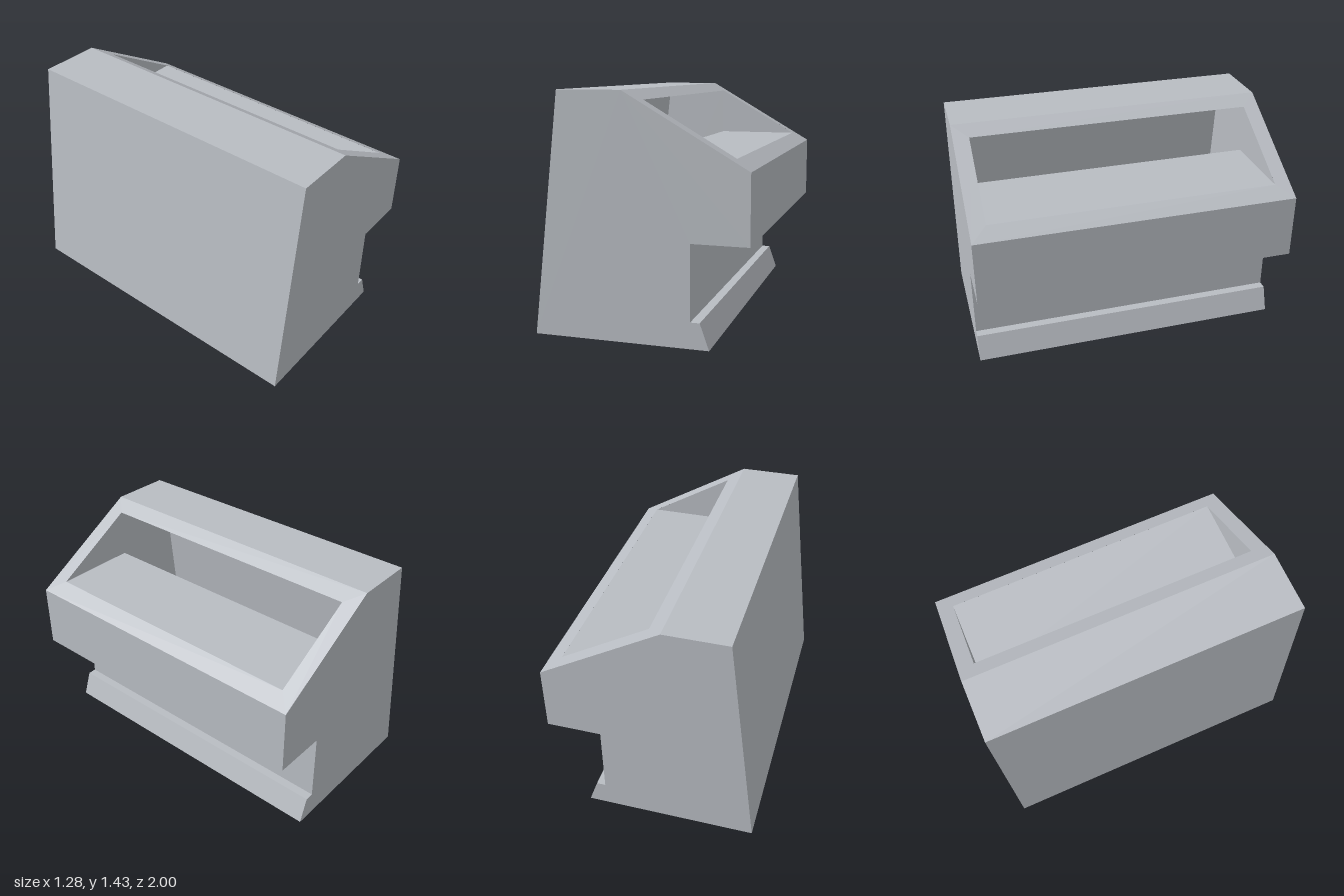
import * as THREE from 'three';

// Outer profile (x, y), counter-clockwise; the slope between LIP and CREST is the display panel
const LIP = [0.64, 1.005], CREST = [-0.09, 1.43];
const OUTER = [CREST, [-0.475, 1.43], [-0.64, 0], [0.415, 0], [0.36, 0.155],
  [0.305, 0.155], [0.305, 0.6], [0.64, 0.6], LIP];
// Pocket profile: shelf, drop behind it, floor, leaning back wall, ceiling
const POCKET = [[0.54, 1.063], [0.005, 1.063], [0.005, 0.06], [-0.573, 0.06],
  [-0.422, 1.37], [0.005, 1.375]];
const HALF = 1, POCKET_HALF = 0.9;

export function createModel() {
  const group = new THREE.Group();
  const grey = new THREE.MeshStandardMaterial({ color: 0xb8bcc2 });
  grey.name = 'light grey';

  const add = (name, geometry) => {
    const mesh = new THREE.Mesh(geometry, grey);
    mesh.name = name;
    group.add(mesh);
    return mesh;
  };

  // Flat faces swept along z between neighbouring profile points
  const strip = (points, h) => {
    const pos = [];
    for (let i = 0; i + 1 < points.length; i++) {
      const [a, b] = [points[i], points[i + 1]];
      pos.push(...a, h, ...a, -h, ...b, -h, ...a, h, ...b, -h, ...b, h);
    }
    const g = new THREE.BufferGeometry();
    g.setAttribute('position', new THREE.Float32BufferAttribute(pos, 3));
    g.computeVertexNormals();
    return g;
  };
  const toShape = (points) => new THREE.Shape(points.map((p) => new THREE.Vector2(...p)));

  // Body walls and pocket walls
  add('bodyWalls', strip(OUTER, HALF));
  add('pocketWalls', strip(POCKET, POCKET_HALF));

  // End faces: the body's look outward, the pocket's look inward
  for (const [name, points, z, out] of [['bodyEnd', OUTER, HALF, 1], ['pocketEnd', POCKET, POCKET_HALF, -1]]) {
    for (const side of [1, -1]) {
      const end = add(name + (side > 0 ? 'Front' : 'Back'), new THREE.ShapeGeometry(toShape(points)));
      end.position.z = side * z;
      if (side * out < 0) {
        // turn the face round without mirroring its outline
        const index = end.geometry.index;
        for (let i = 0; i < index.count; i += 3) {
          const first = index.getX(i);
          index.setX(i, index.getX(i + 2));
          index.setX(i + 2, first);
        }
        end.geometry.computeVertexNormals();
      }
    }
  }

  // Sloping panel with the rectangular opening: shape x runs along z, shape y up the slope
  const dx = CREST[0] - LIP[0], dy = CREST[1] - LIP[1];
  const up = (x) => (x - LIP[0]) / dx;
  const rect = (h, y0, y1) => [[-h, y0], [h, y0], [h, y1], [-h, y1]];
  const panel = toShape(rect(HALF, 0, 1));
  panel.holes.push(toShape(rect(POCKET_HALF, up(POCKET[0][0]), up(POCKET[5][0]))));
  const slope = new THREE.ShapeGeometry(panel);
  const p = slope.attributes.position;
  for (let i = 0; i < p.count; i++) {
    const along = p.getX(i), t = p.getY(i);
    p.setXYZ(i, LIP[0] + dx * t, LIP[1] + dy * t, -along);
  }
  slope.computeVertexNormals();
  add('slopingPanel', slope);

  return group;
}
